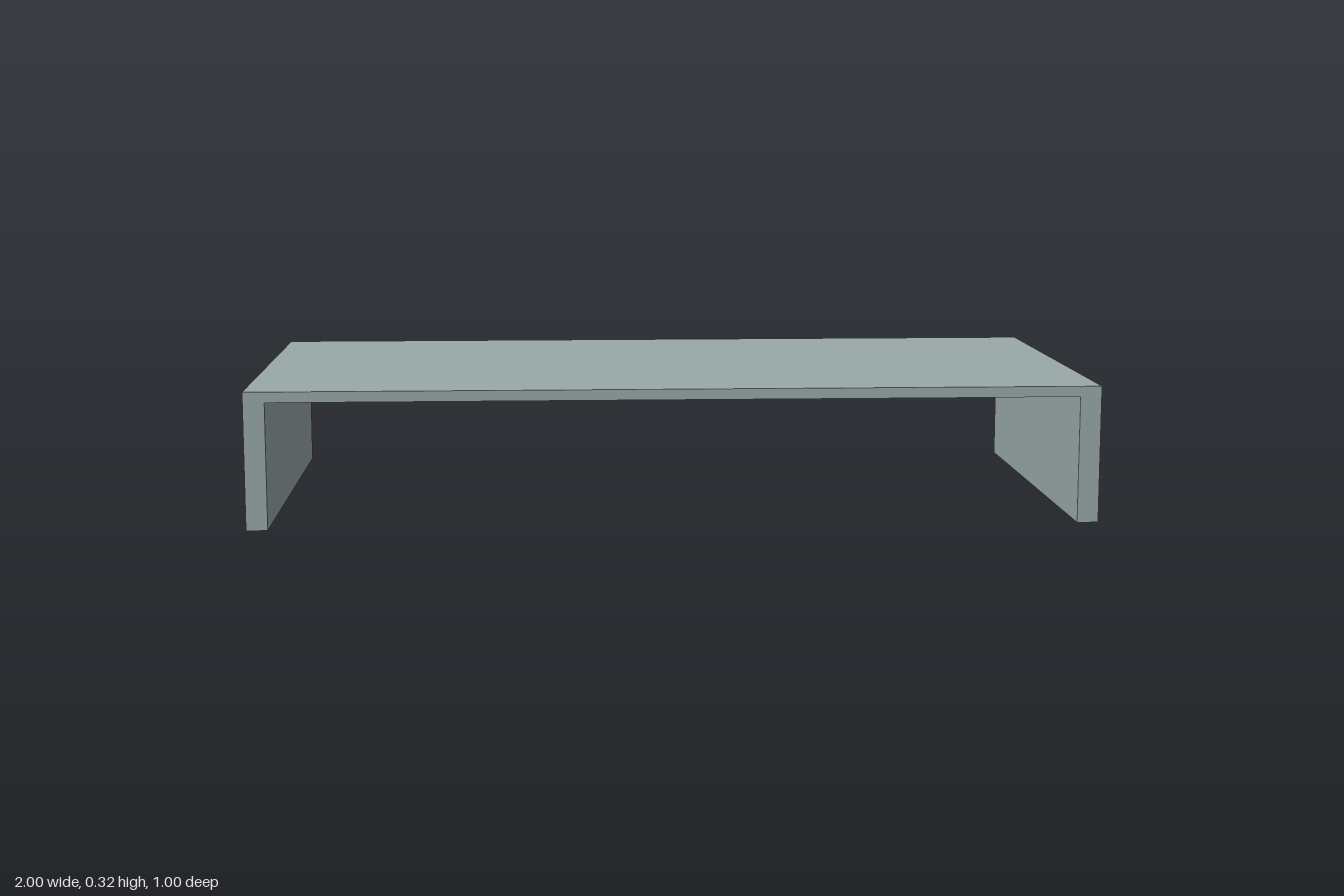
import * as THREE from 'three';

export function createModel() {
  const model = new THREE.Group();
  model.name = 'riserStand';
  const greyGreen = new THREE.MeshStandardMaterial({ color: 0x9aa9a8 });
  greyGreen.name = 'greyGreen';

  const width = 2, depth = 1, height = 0.325, topThickness = 0.025, sideThickness = 0.05;
  const outer = width / 2, inner = outer - sideThickness, underside = height - topThickness;

  // Top and both side panels as one bracket-shaped profile
  const profile = new THREE.Shape([
    [-outer, 0], [-inner, 0], [-inner, underside], [inner, underside],
    [inner, 0], [outer, 0], [outer, height], [-outer, height],
  ].map(([x, y]) => new THREE.Vector2(x, y)));
  const shellGeometry = new THREE.ExtrudeGeometry(profile, { depth, bevelEnabled: false });
  shellGeometry.translate(0, 0, -depth / 2);
  const shell = new THREE.Mesh(shellGeometry, greyGreen);
  shell.name = 'topAndSides';
  model.add(shell);

  // Stiffening rail under the middle of the top
  const railSize = 0.05;
  const rail = new THREE.Mesh(new THREE.BoxGeometry(inner * 2, railSize, railSize), greyGreen);
  rail.name = 'supportRail';
  rail.position.y = underside - railSize / 2;
  model.add(rail);

  return model;
}
